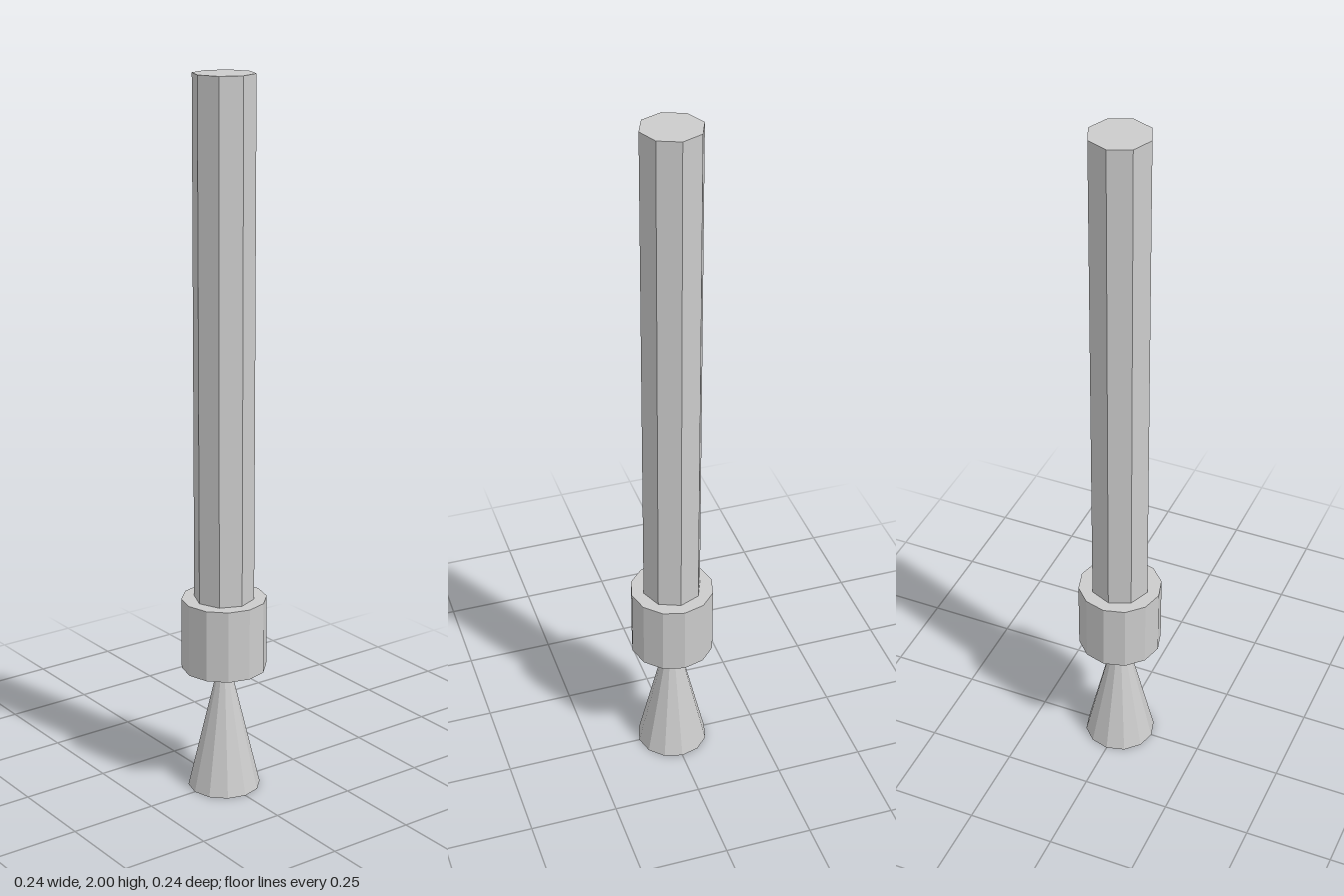
import * as THREE from 'three';

export function createModel() {
  const group = new THREE.Group();
  const material = new THREE.MeshStandardMaterial({ color: 0xcccccc, flatShading: true });

  // Faceted round section standing between two heights
  function addSection(name, rTop, rBottom, y0, y1, sides) {
    const geometry = new THREE.CylinderGeometry(rTop, rBottom, y1 - y0, sides);
    const mesh = new THREE.Mesh(geometry, material);
    mesh.name = name;
    mesh.position.y = (y0 + y1) / 2;
    group.add(mesh);
  }

  // Flared foot, its narrow end reaching the collar
  addSection('flaredFoot', 0.017, 0.102, 0, 0.36, 12);
  // Wide collar
  addSection('collar', 0.119, 0.119, 0.36, 0.565, 12);
  // Long octagonal shaft
  addSection('shaft', 0.084, 0.084, 0.565, 2, 8);

  return group;
}
